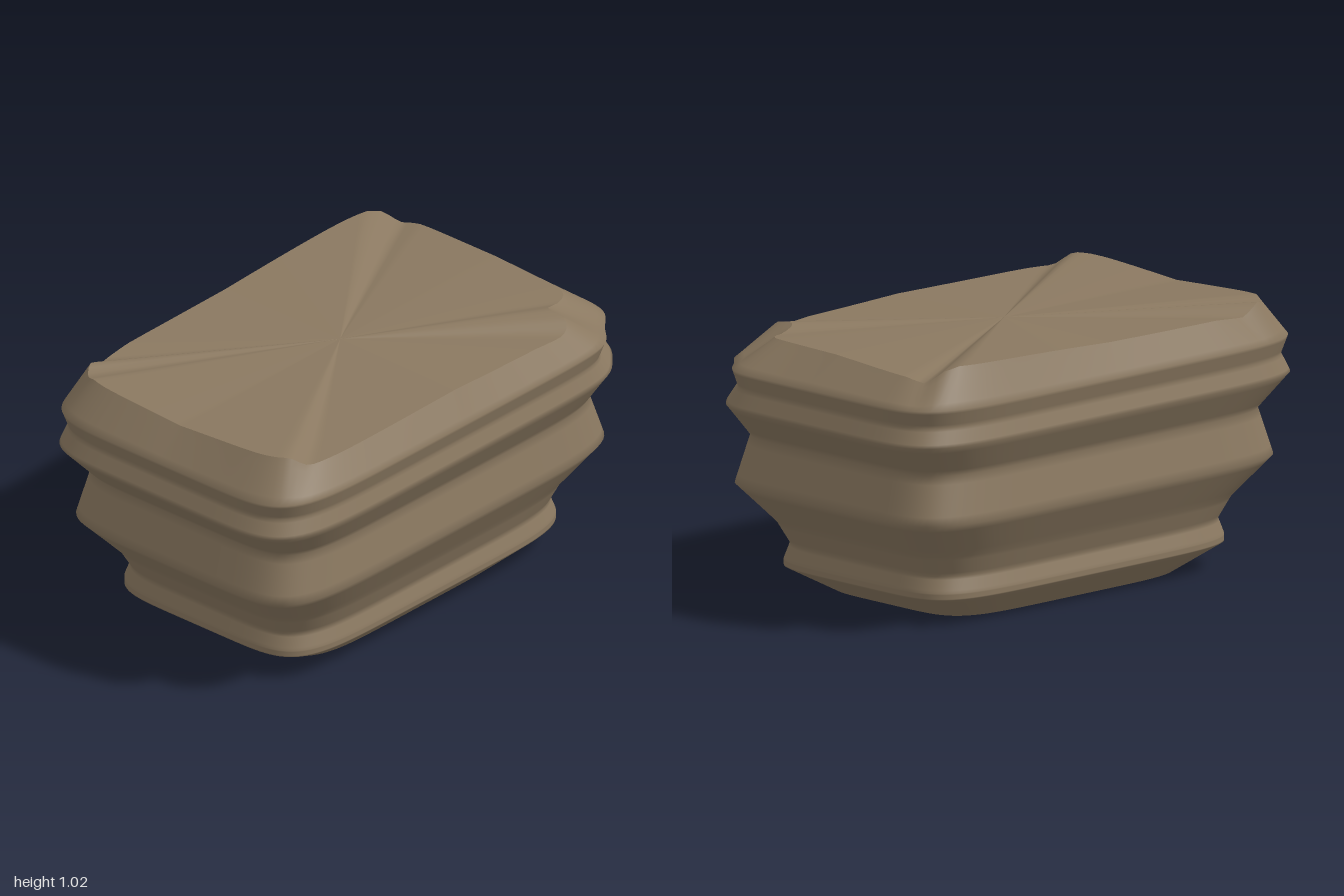
import * as THREE from 'three';

const COLS = 240;

// Outline stations from foot to shoulder: height, half width, half depth, squareness, corner chip
const PROFILE = [
  [0.0, 0.605, 0.39, 5.5, 0],
  [0.1, 0.782, 0.497, 6, 0],
  [0.125, 0.782, 0.497, 6, 0],
  [0.185, 0.764, 0.478, 6, 0],
  [0.27, 0.81, 0.512, 6, 0],
  [0.42, 0.94, 0.6, 7, 0],
  [0.6, 0.886, 0.565, 7, 0],
  [0.73, 1.0, 0.637, 7, 0.03],
  [0.8, 0.968, 0.616, 7, 0.05],
  [0.87, 0.99, 0.635, 7, 0.05],
];
const RIM = [0, 0.885, 0.568, 8, 0.15];

// Uneven rim height by angle in degrees
const RIM_HEIGHT = [
  [-90, 0.99], [-36, 1.015], [-33, 1.0], [-29, 0.952], [-24, 0.968], [0, 0.985],
  [20, 0.985], [27, 0.98], [32, 1.005], [36, 0.995], [41, 0.96], [50, 0.972], [90, 0.985],
  [140, 0.977], [145, 0.975], [149, 1.02], [153, 1.018], [180, 0.99],
  [207, 1.012], [211, 0.99], [214, 1.015], [219, 0.972], [226, 0.984], [270, 0.99],
];

function rimHeight(deg) {
  const k = RIM_HEIGHT.findIndex((p) => p[0] >= deg);
  if (k <= 0) return RIM_HEIGHT[0][1];
  const [a, ya] = RIM_HEIGHT[k - 1];
  const [b, yb] = RIM_HEIGHT[k];
  return ya + ((yb - ya) * (deg - a)) / (b - a);
}

// Point of a rounded-rectangle section, with one chipped front corner
function sectionPoint([y, w, d, n, chip], deg) {
  const t = THREE.MathUtils.degToRad(deg);
  const c = Math.cos(t), s = Math.sin(t);
  let r = Math.pow(Math.pow(Math.abs(c) / w, n) + Math.pow(Math.abs(s) / d, n), -1 / n);
  r *= 1 - chip * Math.exp(-Math.pow((deg - 31) / 5.5, 2));
  return new THREE.Vector3(r * c, y, r * s);
}

function rimPoint(deg) {
  const p = sectionPoint(RIM, deg);
  if (p.x > 0) p.x *= 1 - 0.05 * THREE.MathUtils.clamp((p.z + 0.5) / 0.8, 0, 1);
  p.y = rimHeight(deg);
  return p;
}

// Joins closed rings of points into a smooth skin
function loft(rings) {
  const pos = [], index = [];
  for (const ring of rings) {
    for (let j = 0; j < COLS; j++) pos.push(...ring(-90 + (360 * j) / COLS).toArray());
  }
  for (let i = 0; i < rings.length - 1; i++) {
    for (let j = 0; j < COLS; j++) {
      const k = (j + 1) % COLS;
      const a = i * COLS + j, b = i * COLS + k;
      index.push(a, a + COLS, b, b, a + COLS, b + COLS);
    }
  }
  const g = new THREE.BufferGeometry();
  g.setAttribute('position', new THREE.Float32BufferAttribute(pos, 3));
  g.setIndex(index);
  g.computeVertexNormals();
  return g;
}

export function createModel() {
  const model = new THREE.Group();
  model.name = 'mouldedBlock';
  const clay = new THREE.MeshStandardMaterial({ color: 0x8a7860 });
  clay.name = 'brown clay';

  const add = (name, rings) => {
    const mesh = new THREE.Mesh(loft(rings), clay);
    mesh.name = name;
    model.add(mesh);
  };

  // Moulded wall: extra rings beside each bend keep the bends tight
  const stations = PROFILE.map((p) => (deg) => sectionPoint(p, deg));
  stations.push(rimPoint);
  const wall = [stations[0]];
  for (let i = 0; i < stations.length - 1; i++) {
    const lo = stations[i], hi = stations[i + 1];
    for (const f of [0.18, 0.82]) wall.push((deg) => lo(deg).lerp(hi(deg), f));
    wall.push(hi);
  }
  add('mouldedWall', wall);

  // Top face: creased fan rising and falling from the centre to the rim
  const centre = new THREE.Vector3(0, 0.99, 0);
  add('creasedTop', [0, 0.2, 0.4, 0.6, 0.8, 0.92, 0.999].map((f) =>
    (deg) => rimPoint(deg).lerp(centre, f)).concat([() => centre]));

  // Flat underside
  add('flatBase', [() => new THREE.Vector3(), stations[0]]);
  return model;
}
